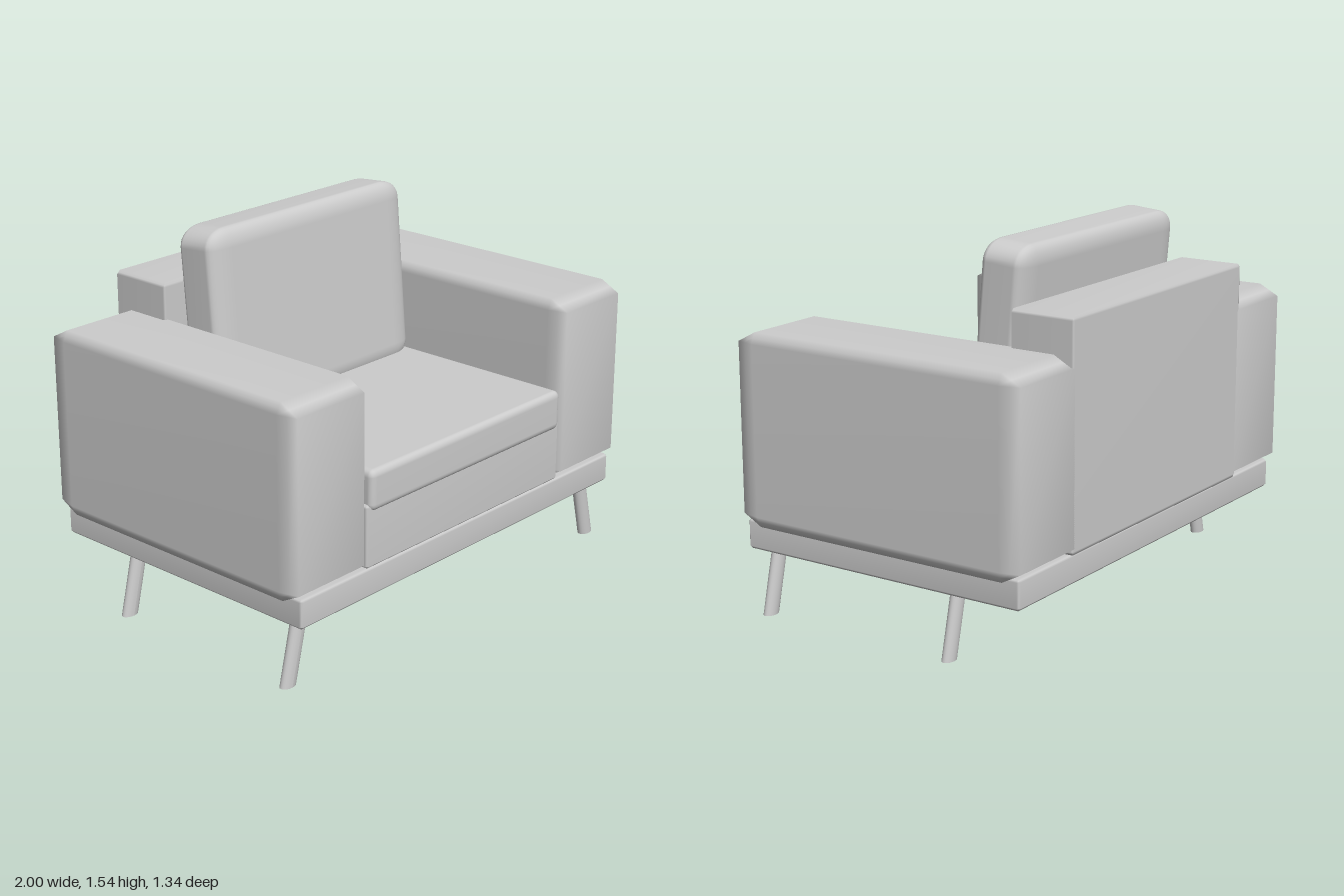
import * as THREE from 'three';
import { mergeVertices } from 'three/addons/utils/BufferGeometryUtils.js';

const material = new THREE.MeshStandardMaterial({ color: 0xcccccc });

// Box with its own bevel size per axis: steps = 1 gives a flat chamfer, more steps a round edge.
function softBox(name, size, bevel, steps, position) {
  const segments = 2 * steps + 1;
  const box = new THREE.BoxGeometry(1, 1, 1, segments, segments, segments);
  box.deleteAttribute('normal');
  box.deleteAttribute('uv');
  const geometry = mergeVertices(box);
  const points = geometry.attributes.position;
  for (let i = 0; i < points.count; i++) {
    const inner = [], offset = [];
    for (let axis = 0; axis < 3; axis++) {
      const k = Math.round((points.getComponent(i, axis) + 0.5) * segments);
      const low = k <= steps;
      const edge = size[axis] / 2 - bevel[axis];
      inner.push(low ? -edge : edge);
      offset.push(low ? k / steps - 1 : (k - steps - 1) / steps);
    }
    const reach = Math.max(...offset.map(Math.abs));
    const norm = steps === 1
      ? offset.reduce((sum, v) => sum + Math.abs(v), 0)
      : Math.hypot(...offset);
    const scale = norm > 0 ? (steps === 1 ? 1 : reach) / norm : 0;
    // Grid lines inside the bevel collapse onto the rounded skin
    const full = steps === 1 ? scale : scale / (reach || 1);
    points.setXYZ(i, ...inner.map((v, axis) => v + offset[axis] * full * bevel[axis]));
  }
  geometry.computeVertexNormals();
  const mesh = new THREE.Mesh(geometry, material);
  mesh.name = name;
  mesh.position.set(...position);
  return mesh;
}

// Slanted leg, cut level at the floor and at the base
function leg(side, z, name) {
  const height = 0.28;
  const geometry = new THREE.CylinderGeometry(0.025, 0.025, height, 20);
  geometry.scale(1.5, 1, 1);
  const shear = new THREE.Matrix4().makeShear(0, 0, -0.24 * side, 0, 0, 0);
  const points = geometry.attributes.position;
  for (let i = 0; i < points.count; i++) {
    points.setX(i, points.getX(i) - 0.24 * side * points.getY(i));
  }
  geometry.computeVertexNormals();
  const mesh = new THREE.Mesh(geometry, material);
  mesh.name = name;
  mesh.position.set(side * 0.912, height / 2, z);
  return mesh;
}

export function createModel() {
  const armchair = new THREE.Group();
  armchair.name = 'armchair';

  // Base frame and the upholstered block under the seat
  armchair.add(softBox('baseFrame', [1.93, 0.125, 1.31], [0.012, 0.012, 0.012], 1, [0.003, 0.3275, 0]));
  armchair.add(softBox('seatBlock', [1.2, 0.265, 1.1], [0.012, 0.012, 0.012], 1, [0, 0.5175, 0.105]));

  // Seat, upright back panel and the loose leaning cushion
  armchair.add(softBox('seatCushion', [1.175, 0.17, 1.06], [0.03, 0.03, 0.025], 3, [0.002, 0.705, 0.137]));
  armchair.add(softBox('backPanel', [1.28, 0.92, 0.28], [0.015, 0.015, 0.006], 1, [0, 0.85, -0.53]));
  const cushion = softBox('backCushion', [1.14, 0.79, 0.215], [0.11, 0.08, 0.045], 4, [0.005, 1.14, -0.268]);
  cushion.rotation.x = -0.085;
  armchair.add(cushion);

  // Mirrored arms and legs
  for (const [side, label] of [[1, 'left'], [-1, 'right']]) {
    armchair.add(softBox(label + 'Arm', [0.4, 0.79, 1.33], [0.022, 0.045, 0.085], 1, [side * 0.8, 0.765, -0.005]));
    armchair.add(leg(side, 0.565, label + 'FrontLeg'));
    armchair.add(leg(side, -0.32, label + 'BackLeg'));
  }
  return armchair;
}
